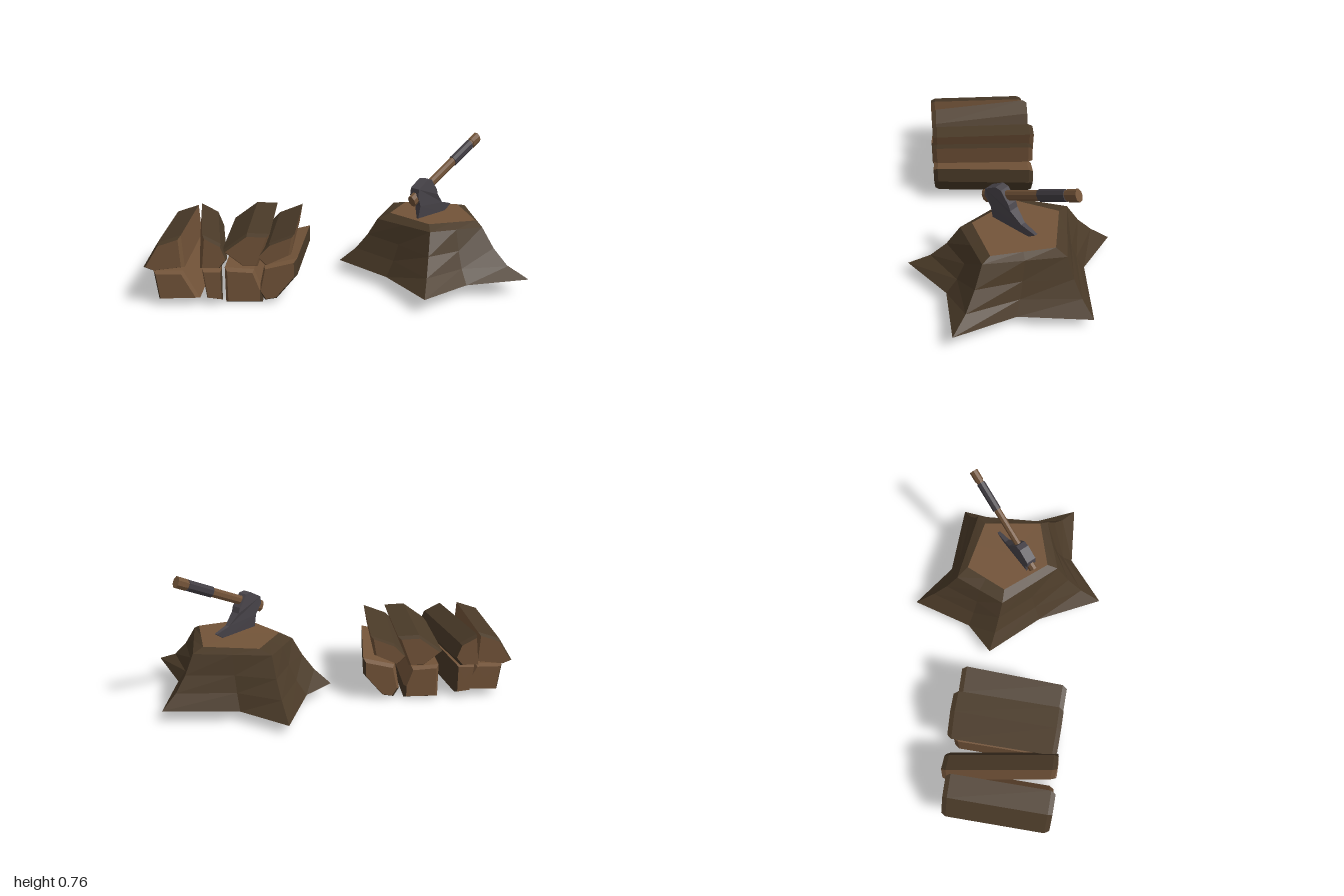
import * as THREE from 'three';

const mat = (color) => new THREE.MeshStandardMaterial({ color, flatShading: true, roughness: 0.9 });
const bark = mat(0x4a3a28), wood = mat(0x735439), metal = mat(0x4a464c), grip = mat(0x423e44);

// Collects triangles per material and turns them into named meshes
function builder() {
  const sets = new Map();
  const tri = (m, ...pts) => {
    if (!sets.has(m)) sets.set(m, []);
    pts.forEach((p) => sets.get(m).push(...p));
  };
  const quad = (m, a, b, c, d) => { tri(m, a, b, c); tri(m, a, c, d); };
  const fan = (m, ring, flip) => {
    const c = [0, 1, 2].map((k) => ring.reduce((s, p) => s + p[k], 0) / ring.length);
    ring.forEach((p, i) => {
      const q = ring[(i + 1) % ring.length];
      flip ? tri(m, c, q, p) : tri(m, c, p, q);
    });
  };
  const build = (name, labels) => {
    const group = new THREE.Group();
    group.name = name;
    for (const [m, pos] of sets) {
      const g = new THREE.BufferGeometry();
      g.setAttribute('position', new THREE.Float32BufferAttribute(pos, 3));
      g.computeVertexNormals();
      const mesh = new THREE.Mesh(g, m);
      mesh.name = labels.get(m);
      group.add(mesh);
    }
    return group;
  };
  return { quad, fan, build };
}

const mix = (a, b, t) => a.map((v, i) => v + (b[i] - v) * t);

// Star-rooted stump: rings run from the root tips up to the cut face
function createStump() {
  const tips = [[0, 0.06, -0.06], [0.24, 0.05, -0.55], [0.89, 0.065, -0.37], [0.99, 0.09, 0.31], [0.42, 0.075, 0.54]];
  const valleys = [[0.14, 0.06, -0.21], [0.49, 0.055, -0.38], [0.85, 0.07, 0], [0.66, 0.07, 0.34], [0.25, 0.06, 0.2]];
  const rimTips = [[0.21, 0.32, -0.02], [0.32, 0.33, -0.3], [0.73, 0.33, -0.25], [0.76, 0.33, 0.16], [0.47, 0.335, 0.26]];
  const faceTips = [[0.28, 0.355, -0.02], [0.385, 0.35, -0.25], [0.68, 0.35, -0.2], [0.73, 0.355, 0.12], [0.47, 0.36, 0.2]];
  const withMids = (r) => r.flatMap((p, i) => [p, mix(p, r[(i + 1) % 5], 0.5)]);
  const base = tips.flatMap((p, i) => [p, valleys[i]]);
  const rim = withMids(rimTips), face = withMids(faceTips);
  const between = (y, t) => base.map((p, i) => {
    const q = mix(rim[i], p, t);
    return [q[0], y, q[2]];
  });
  const rings = [base, between(0.14, 0.57), between(0.225, 0.26), rim, face];

  const b = builder();
  for (let k = 0; k < rings.length - 1; k++) {
    for (let i = 0; i < 10; i++) {
      const j = (i + 1) % 10, lo = rings[k], hi = rings[k + 1];
      b.quad(bark, lo[j], lo[i], hi[i], hi[j]);
    }
  }
  b.fan(bark, base, false);
  b.fan(wood, face, true);
  return b.build('stump', new Map([[bark, 'stumpBark'], [wood, 'stumpCutFace']]));
}

// Split log: front outline (counter-clockwise), one b/w letter per side for bark or wood,
// z extent, and sideways shift of the front and back ends
function createLog(name, { pts, sides, z, shift = [0, 0] }) {
  const n = pts.length;
  const cx = pts.reduce((s, p) => s + p[0], 0) / n, cy = pts.reduce((s, p) => s + p[1], 0) / n;
  const [back, front] = z;
  const ring = (zz, scale) => {
    const dx = shift[0] + (shift[1] - shift[0]) * (front - zz) / (front - back);
    return pts.map(([x, y]) => [cx + (x - cx) * scale + dx, cy + (y - cy) * scale, zz]);
  };
  const rings = [ring(front, 0.86), ring(front - 0.025, 1), ring(back + 0.025, 1), ring(back, 0.86)];
  const b = builder();
  for (let k = 0; k < 3; k++) {
    for (let i = 0; i < n; i++) {
      const j = (i + 1) % n, f = rings[k], r = rings[k + 1];
      b.quad(sides[i] === 'b' ? bark : wood, f[i], r[i], r[j], f[j]);
    }
  }
  b.fan(wood, rings[0], false);
  b.fan(wood, rings[3], true);
  return b.build(name, new Map([[bark, 'logBark'], [wood, 'logWood']]));
}

const logs = {
  upperLogOuterRight: { pts: [[-0.79, 0.2], [-0.8, 0.37], [-0.92, 0.33], [-1, 0.2], [-0.95, 0.18]], sides: 'wbbbw', z: [-0.15, 0.43] },
  upperLogInnerRight: { pts: [[-0.71, 0.19], [-0.61, 0.19], [-0.57, 0.24], [-0.6, 0.32], [-0.69, 0.37]], sides: 'wbbbw', z: [-0.18, 0.42], shift: [0, -0.1] },
  lowerLogOuterRight: { pts: [[-0.95, 0.18], [-0.93, 0.025], [-0.72, 0.03], [-0.8, 0.18]], sides: 'bbww', z: [-0.14, 0.43] },
  lowerLogInnerRight: { pts: [[-0.68, 0.03], [-0.6, 0.02], [-0.6, 0.19], [-0.7, 0.19]], sides: 'bbww', z: [-0.16, 0.43], shift: [0, -0.09] },
  lowerLogInnerLeft: { pts: [[-0.59, 0], [-0.4, 0], [-0.4, 0.07], [-0.44, 0.18], [-0.59, 0.19]], sides: 'bbwww', z: [-0.16, 0.41] },
  upperLogInnerLeft: { pts: [[-0.5, 0.2], [-0.42, 0.2], [-0.355, 0.37], [-0.47, 0.375], [-0.6, 0.28]], sides: 'wwbbw', z: [-0.19, 0.41] },
  upperLogOuterLeft: { pts: [[-0.37, 0.2], [-0.24, 0.26], [-0.22, 0.37], [-0.35, 0.32], [-0.42, 0.25]], sides: 'wwbbw', z: [-0.17, 0.41], shift: [-0.01, 0.01] },
  lowerLogOuterLeft: { pts: [[-0.37, 0.06], [-0.34, 0.01], [-0.28, 0.02], [-0.17, 0.15], [-0.17, 0.24], [-0.34, 0.2]], sides: 'bbbbww', z: [-0.17, 0.41], shift: [-0.05, 0] },
};

// Axe stuck in the stump, drawn in its own upright plane
function createAxe() {
  const axe = new THREE.Group();
  axe.name = 'axe';

  // Head: outline thinned toward the cutting edge
  const outline = [[-0.127, 0.345], [0.1, 0.345], [0.155, 0.385], [0.07, 0.41], [0.01, 0.47], [0, 0.5], [-0.05, 0.565], [-0.085, 0.57], [-0.155, 0.53], [-0.16, 0.49], [-0.127, 0.43]];
  const shape = new THREE.Shape(outline.map(([x, y]) => new THREE.Vector2(x, y)));
  const headGeo = new THREE.ExtrudeGeometry(shape, { depth: 2, bevelEnabled: false });
  const p = headGeo.attributes.position;
  for (let i = 0; i < p.count; i++) {
    const half = THREE.MathUtils.clamp((p.getY(i) - 0.345) / 0.13, 0.12, 1) * 0.028;
    p.setZ(i, (p.getZ(i) - 1) * half);
  }
  headGeo.computeVertexNormals();
  const head = new THREE.Mesh(headGeo, metal);
  head.name = 'axeHead';
  axe.add(head);

  // Handle pieces: start and end along the handle, height, width
  const from = new THREE.Vector2(-0.18, 0.463), to = new THREE.Vector2(0.392, 0.728);
  const handle = new THREE.Group();
  handle.name = 'axeHandle';
  handle.position.set(from.x, from.y, 0);
  handle.rotation.z = Math.atan2(to.y - from.y, to.x - from.x);
  const length = from.distanceTo(to);
  const piece = (name, m, a, b, h, w) => {
    const g = new THREE.CylinderGeometry(0.5, 0.5, 1, 8);
    g.rotateY(Math.PI / 8).rotateZ(-Math.PI / 2).scale((b - a) * length, h * 1.08, w * 1.08);
    g.translate((a + b) / 2 * length, 0, 0);
    const mesh = new THREE.Mesh(g, m);
    mesh.name = name;
    handle.add(mesh);
  };
  piece('handleButt', wood, 0, 0.06, 0.064, 0.042);
  piece('handleShaft', wood, 0.05, 0.92, 0.05, 0.034);
  piece('handleGrip', grip, 0.61, 0.88, 0.058, 0.042);
  piece('handleKnob', wood, 0.9, 1, 0.06, 0.042);
  axe.add(handle);

  axe.position.set(0.51, 0, 0);
  axe.rotation.y = Math.PI / 4;
  return axe;
}

export function createModel() {
  const model = new THREE.Group();
  model.name = 'choppingStump';
  const pile = new THREE.Group();
  pile.name = 'logPile';
  for (const [name, spec] of Object.entries(logs)) pile.add(createLog(name, spec));
  model.add(createStump(), createAxe(), pile);
  return model;
}
